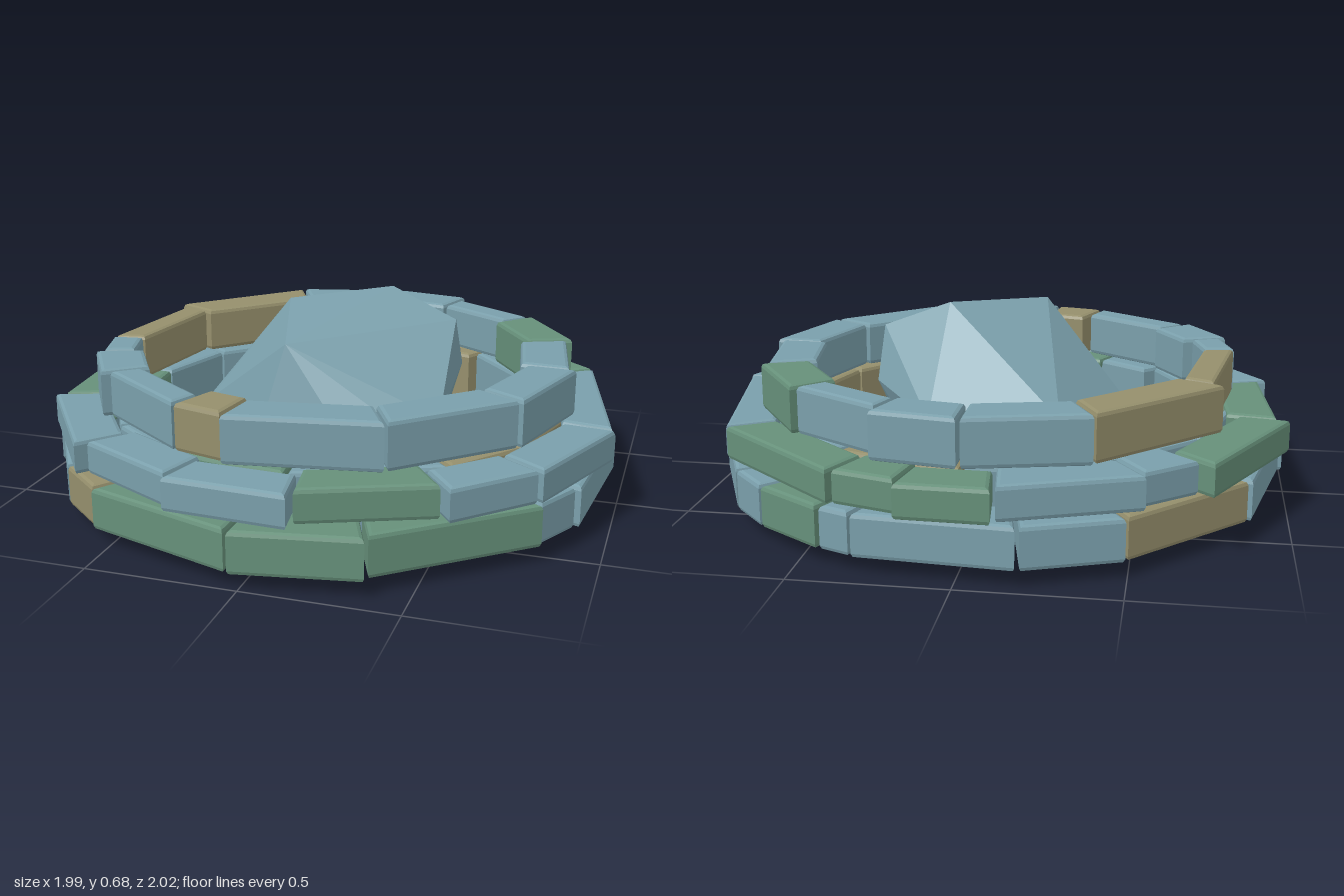
import * as THREE from 'three';
import { ConvexGeometry } from 'three/addons/geometries/ConvexGeometry.js';

const makeMaterial = (color) => new THREE.MeshStandardMaterial({ color, flatShading: true });
const blue = makeMaterial(0x7a9fab);
const green = makeMaterial(0x66907a);
const tan = makeMaterial(0x958f6c);

// A bevelled brick with radial ends; angles in degrees from +x towards +z
function brickGeometry(a0, a1, rIn, rOut, yLow, yHigh) {
  const bevel = 0.015, gap = 0.4;
  const corner = (r, deg) => {
    const a = THREE.MathUtils.degToRad(deg);
    return new THREE.Vector2(r * Math.cos(a), -r * Math.sin(a));
  };
  const shape = new THREE.Shape([
    corner(rIn, a0 + gap), corner(rOut, a0 + gap),
    corner(rOut, a1 - gap), corner(rIn, a1 - gap),
  ]);
  const geometry = new THREE.ExtrudeGeometry(shape, {
    depth: yHigh - yLow - 2 * bevel,
    bevelSize: bevel, bevelOffset: -bevel, bevelThickness: bevel, bevelSegments: 2,
  });
  geometry.rotateX(-Math.PI / 2);
  geometry.translate(0, yLow + bevel, 0);
  return geometry;
}

// A closed ring of bricks between successive joint angles, each with its outer radius;
// greens, tans and slim list the brick numbers that differ from plain blue
function makeCourse({ name, joints, outer, y, depth, greens, tans, slim }) {
  const course = new THREE.Group();
  course.name = name;
  joints.forEach((start, i) => {
    const end = i + 1 < joints.length ? joints[i + 1] : joints[0] + 360;
    const inner = outer[i] - (slim.includes(i) ? depth * 0.65 : depth);
    const geometry = brickGeometry(start, end, inner, outer[i], ...y);
    const material = greens.includes(i) ? green : tans.includes(i) ? tan : blue;
    const brick = new THREE.Mesh(geometry, material);
    brick.name = 'brick';
    course.add(brick);
  });
  return course;
}

// Faceted rock wrapped around its crown, belt and underside corners
function makeBoulder() {
  const crown = [[0.16, 0.675, -0.14], [-0.15, 0.66, 0.08], [0.4, 0.58, -0.1], [-0.1, 0.55, 0.28]];
  const belt = [
    [-0.5, 0.25, -0.03], [-0.49, 0.24, 0.03], [-0.25, 0.35, -0.41], [0.19, 0.33, -0.4],
    [0.41, 0.4, -0.18], [0.42, 0.32, 0.22], [0.37, 0.26, 0.3], [0.11, 0.3, 0.36],
    [-0.17, 0.28, 0.33],
  ];
  const underside = [
    [-0.24, 0.05, 0.1], [-0.14, 0.02, 0.2], [0.14, 0, -0.1], [0.14, 0.005, -0.26],
    [0.34, 0.06, 0.05], [0.1, 0.04, 0.26], [-0.15, 0.06, -0.28],
  ];
  const points = crown.concat(belt, underside).map((p) => new THREE.Vector3(...p));
  const boulder = new THREE.Mesh(new ConvexGeometry(points), blue);
  boulder.name = 'boulder';
  return boulder;
}

export function createModel() {
  const model = new THREE.Group();
  model.name = 'stoneFirePit';

  // Stacked outer courses
  model.add(makeCourse({
    name: 'bottomCourse', y: [0.05, 0.192], depth: 0.17,
    joints: [-11, 22, 33, 68, 92, 124, 137, 161, 176, 208, 239.5, 259, 289, 296, 312, 323],
    outer: [0.985, 0.97, 0.985, 1.01, 1, 0.99, 0.99, 1, 0.985, 0.975, 0.985, 0.985, 0.98, 0.985, 0.985, 0.985],
    greens: [2, 3, 4, 13], tans: [5, 9], slim: [],
  }));
  model.add(makeCourse({
    name: 'middleCourse', y: [0.203, 0.317], depth: 0.17,
    joints: [-32, 8, 35, 54, 81, 105, 129, 160, 190, 223, 236, 263, 280, 293],
    outer: [0.99, 1, 0.99, 0.95, 0.995, 0.965, 1.005, 0.97, 1.015, 0.96, 0.99, 1.015, 0.975, 0.99],
    greens: [3, 7, 8, 11, 12, 13], tans: [], slim: [],
  }));
  model.add(makeCourse({
    name: 'topCourse', y: [0.32, 0.482], depth: 0.165,
    joints: [-90, -71, -46, -22, 3, 30.5, 63, 98, 111, 140, 158, 171, 206, 243],
    outer: [0.875, 0.825, 0.845, 0.82, 0.845, 0.835, 0.84, 0.82, 0.82, 0.85, 0.825, 0.82, 0.86, 0.87],
    greens: [2], tans: [7, 11, 12], slim: [1, 8, 10, 11],
  }));

  // Lining inside the two lower courses
  model.add(makeCourse({
    name: 'innerLining', y: [0.055, 0.31], depth: 0.13,
    joints: [-90, -59, -22, 4, 27, 48, 84, 117, 136, 168, 184, 210, 240],
    outer: [0.82, 0.81, 0.8, 0.81, 0.81, 0.81, 0.81, 0.81, 0.81, 0.81, 0.81, 0.81, 0.82],
    greens: [2, 6, 9], tans: [0, 3, 4], slim: [1, 5, 8],
  }));

  model.add(makeBoulder());
  return model;
}
